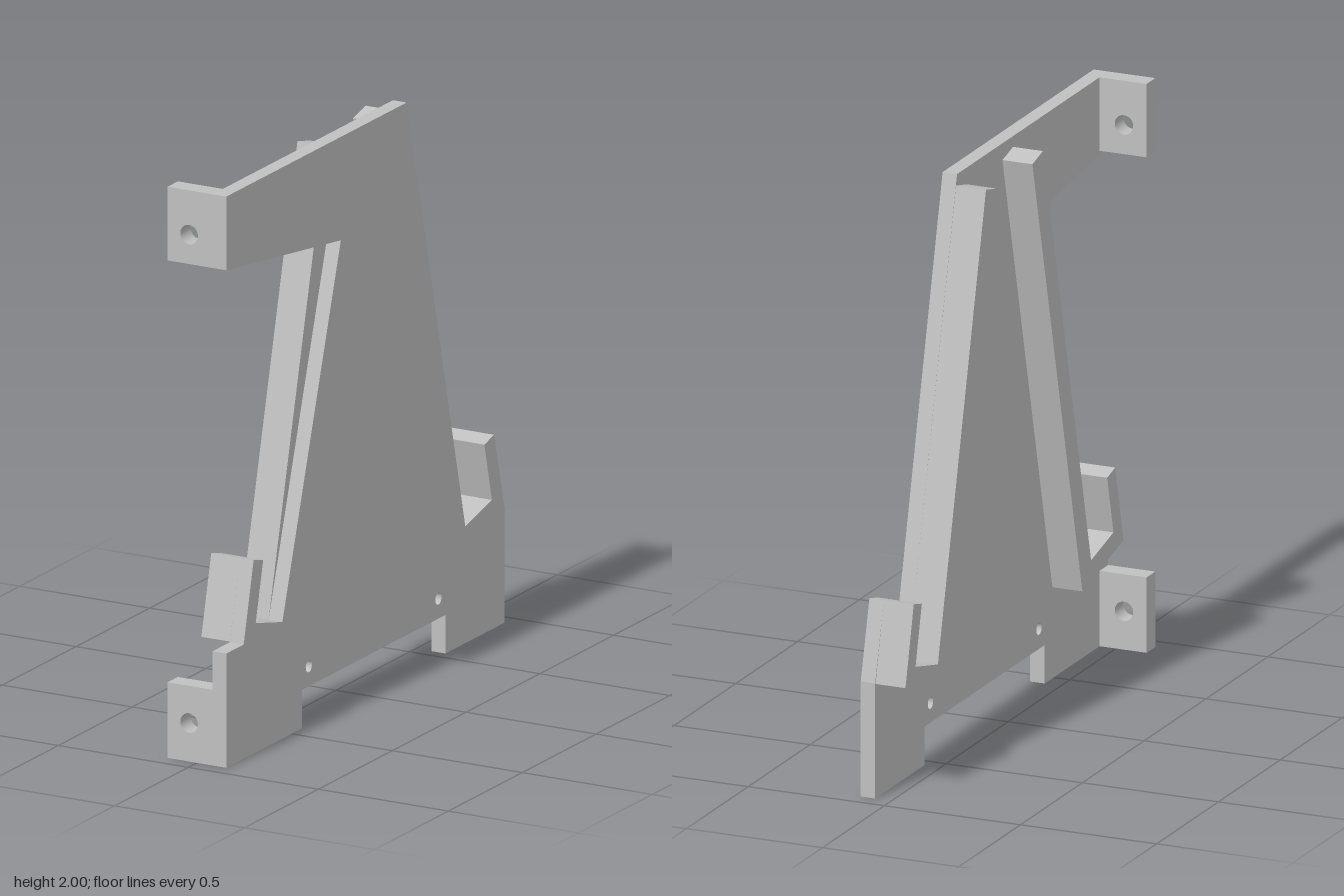
import * as THREE from 'three';

const grey = new THREE.MeshStandardMaterial({ color: 0xc0c0c0 });
grey.name = 'plain grey';

function makeShape(points, holes = []) {
  const shape = new THREE.Shape(points.map(([a, b]) => new THREE.Vector2(a, b)));
  for (const [a, b, r] of holes) {
    shape.holes.push(new THREE.Path().absarc(a, b, r, 0, Math.PI * 2, true));
  }
  return shape;
}

function extrude(shape, depth) {
  return new THREE.ExtrudeGeometry(shape, { depth, bevelEnabled: false, curveSegments: 16 });
}

// Extrudes a (z, y) outline between two x positions
function sidePart(name, points, xMin, xMax, holes) {
  const geometry = extrude(makeShape(points, holes), xMax - xMin);
  geometry.rotateY(-Math.PI / 2).translate(xMax, 0, 0);
  const mesh = new THREE.Mesh(geometry, grey);
  mesh.name = name;
  return mesh;
}

// Upright mounting tab with a screw hole, facing the front
function mountingTab(name, y0, y1, holeY) {
  const outline = [[-0.113, y0], [0.06, y0], [0.06, y1], [-0.113, y1]];
  const geometry = extrude(makeShape(outline, [[-0.03, holeY, 0.034]]), 0.07);
  geometry.translate(0, 0, 0.872);
  const mesh = new THREE.Mesh(geometry, grey);
  mesh.name = name;
  return mesh;
}

export function createModel() {
  const group = new THREE.Group();
  group.name = 'bracket';

  // Side plate with both hook outlines and two small holes
  const plate = [
    [0.942, 0], [0.942, 0.4], [0.824, 0.4], [0.757, 0.677], [0.692, 0.66],
    [0.743, 0.453], [0.562, 0.408], [0.166, 1.638], [0.942, 1.742], [0.942, 2],
    [-0.28, 2], [-0.677, 0.408], [-0.857, 0.453], [-0.806, 0.66], [-0.872, 0.677],
    [-0.942, 0.405], [-0.942, 0], [-0.542, 0], [-0.542, 0.135], [0.428, 0.135], [0.428, 0],
  ];
  group.add(sidePart('sidePlate', plate, 0.06, 0.113,
    [[0.383, 0.205, 0.021], [-0.495, 0.205, 0.021]]));

  // Leaning rails with hooked feet, mirrored front to back
  const rail = [
    [0.491, 0.32], [0.824, 0.402], [0.757, 0.677], [0.692, 0.66], [0.743, 0.453],
    [0.562, 0.408], [0.173, 1.962], [0.087, 1.941],
  ];
  group.add(sidePart('frontRail', rail, -0.05, 0.06));
  const mirrored = rail.map(([z, y]) => [-z - 0.115, y]);
  group.add(sidePart('backRail', mirrored, -0.05, 0.06));

  // Mounting tabs
  group.add(mountingTab('lowerTab', 0, 0.265, 0.135));
  group.add(mountingTab('upperTab', 1.742, 2, 1.845));
  return group;
}
